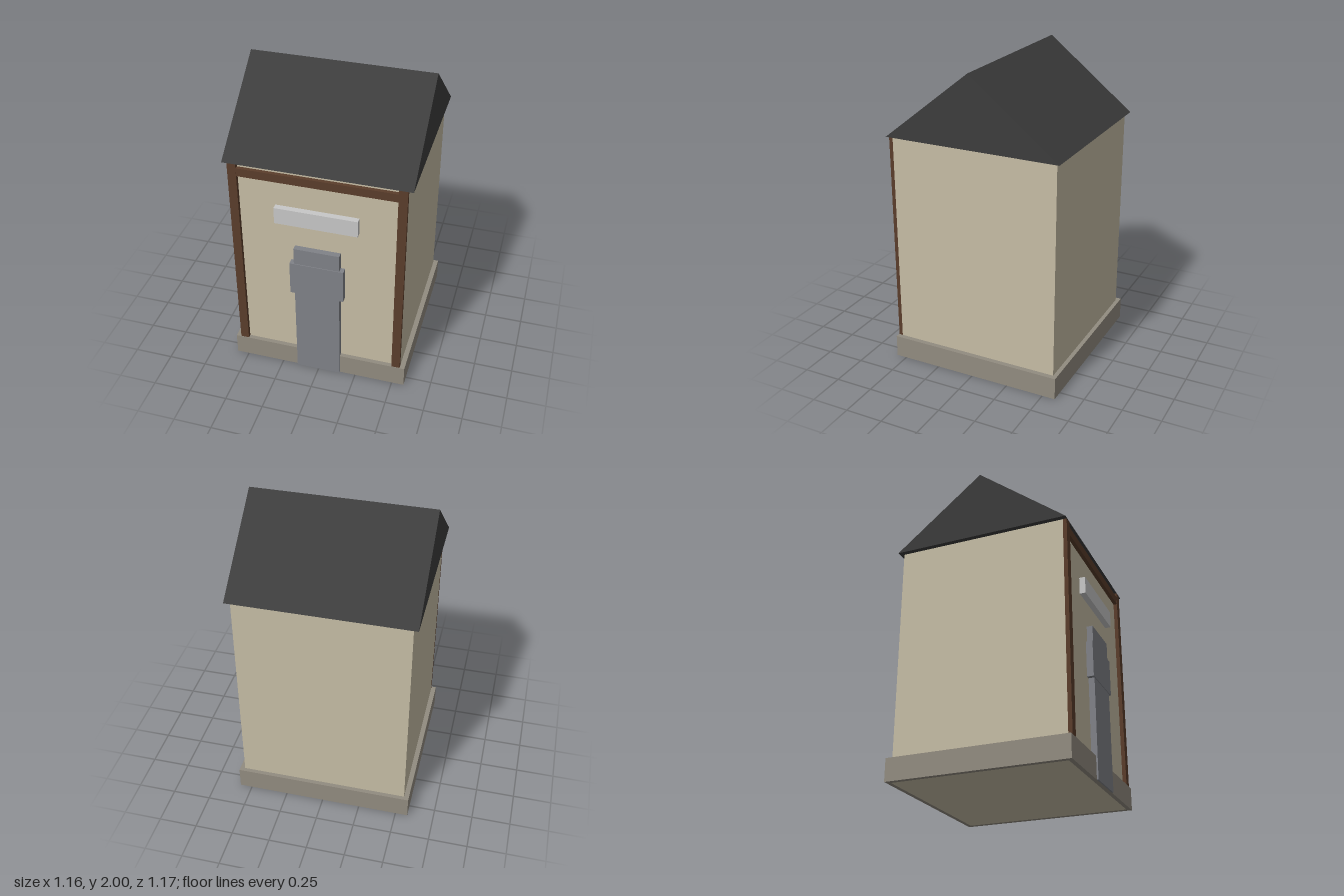
import * as THREE from 'three';

const paint = (name, color) => {
  const m = new THREE.MeshStandardMaterial({ color });
  m.name = name;
  return m;
};

export function createModel() {
  const group = new THREE.Group();
  const plaster = paint('cream plaster', 0xc6bda5);
  const stone = paint('grey stone', 0x928c80);
  const timber = paint('brown timber', 0x5a3d2b);
  const slate = paint('dark slate', 0x3c3c3c);
  const steel = paint('blue grey steel', 0x808288);
  const pale = paint('pale grey', 0xc8c8c8);

  const add = (name, geometry, material) => {
    const mesh = new THREE.Mesh(geometry, material);
    mesh.name = name;
    group.add(mesh);
    return mesh;
  };
  // Box given by its limits on each axis
  const box = (name, material, [x0, x1], [y0, y1], [z0, z1]) =>
    add(name, new THREE.BoxGeometry(x1 - x0, y1 - y0, z1 - z0), material)
      .position.set((x0 + x1) / 2, (y0 + y1) / 2, (z0 + z1) / 2);
  const rect = (Type, x, z0, z1) => new Type([
    new THREE.Vector2(-x, -z0), new THREE.Vector2(-x, -z1),
    new THREE.Vector2(x, -z1), new THREE.Vector2(x, -z0),
  ]);

  const eaves = 1.54, wallFront = 0.542;

  // Walls, reaching the ground inside the plinth
  box('walls', plaster, [-0.548, 0.548], [0, eaves], [-0.558, wallFront]);

  // Plinth ring around the walls
  const ring = rect(THREE.Shape, 0.58, -0.585, 0.57);
  ring.holes.push(rect(THREE.Path, 0.548, -0.558, wallFront));
  const plinth = new THREE.ExtrudeGeometry(ring, { depth: 0.145, bevelEnabled: false });
  add('plinth', plinth.rotateX(-Math.PI / 2), stone);

  // Timber frame on the front wall
  for (const s of [-1, 1]) {
    const x = [0.493 * s, 0.548 * s].sort((a, b) => a - b);
    box(s > 0 ? 'leftPost' : 'rightPost', timber, x, [0.1, eaves], [wallFront, 0.567]);
  }
  box('beam', timber, [-0.493, 0.493], [1.455, 1.51], [wallFront, 0.566]);

  // Gable roof with its ridge along x
  const gable = new THREE.Shape([
    new THREE.Vector2(-0.57, eaves), new THREE.Vector2(0.585, eaves), new THREE.Vector2(0.008, 2),
  ]);
  const roof = new THREE.ExtrudeGeometry(gable, { depth: 1.16, bevelEnabled: false });
  add('roof', roof.translate(0, 0, -0.58).rotateY(Math.PI / 2), slate);

  // Door panel with a wider band, and the plate above it
  box('doorPanel', steel, [-0.147, 0.145], [0, 0.99], [wallFront, 0.58]);
  box('doorBand', steel, [-0.175, 0.172], [0.64, 0.875], [wallFront, 0.585]);
  box('wallPlate', pale, [-0.263, 0.26], [1.165, 1.277], [wallFront, 0.58]);

  return group;
}
